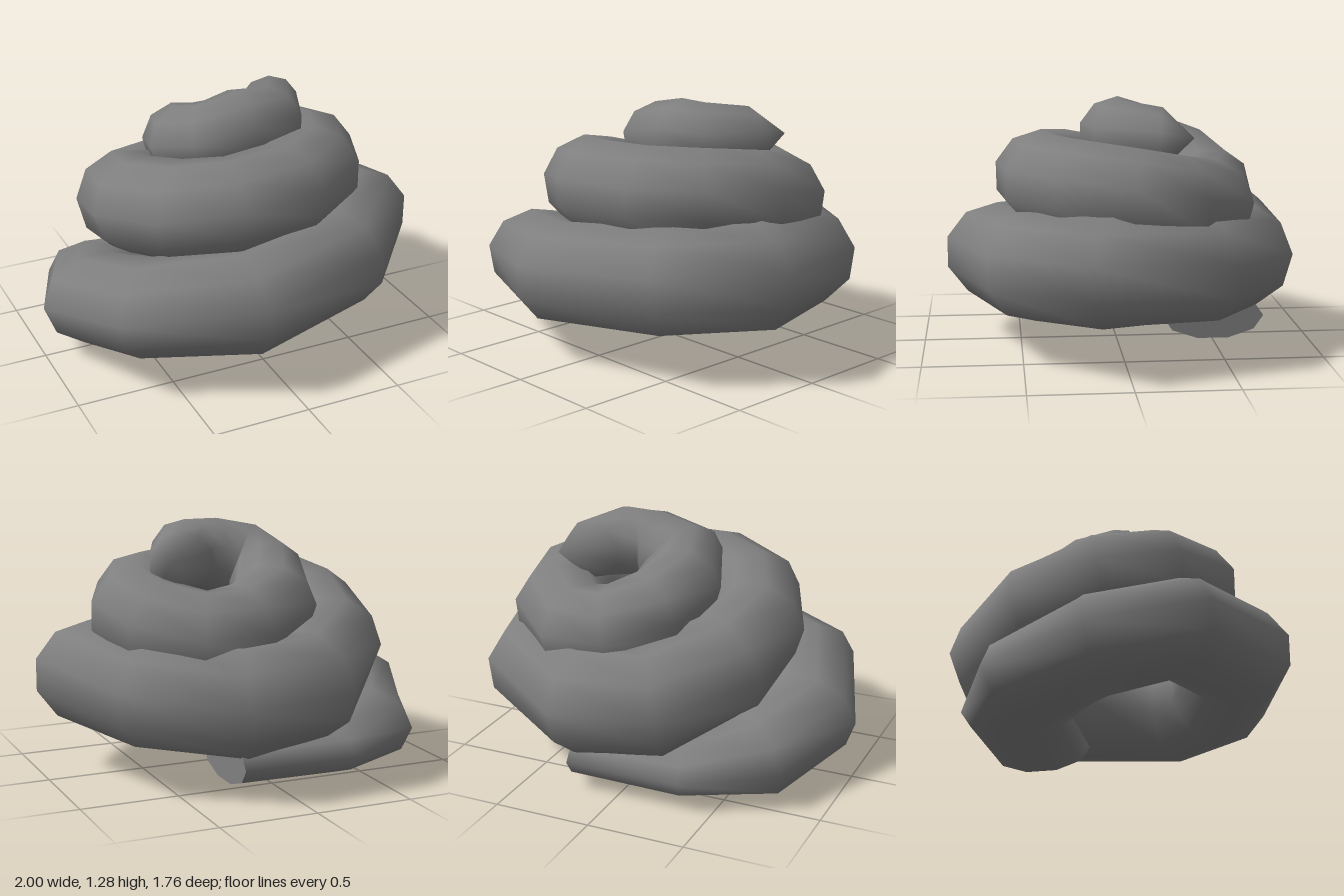
import * as THREE from 'three';

// Stations along the coil, from the flat lower end to the last ring:
// [outer x, outer z, centre y, half width, half height]
const STATIONS = [
  [0.25, -0.74, 0.17, 0.26, 0.12],
  [-0.35, -0.74, 0.17, 0.27, 0.13],
  [-0.80, -0.51, 0.21, 0.30, 0.21],
  [-1.00, 0.02, 0.30, 0.28, 0.24],
  [-0.80, 0.59, 0.41, 0.28, 0.24],
  [-0.16, 0.88, 0.45, 0.28, 0.26],
  [0.58, 0.67, 0.49, 0.28, 0.27],
  [1.00, 0.18, 0.515, 0.28, 0.27],
  [0.81, -0.52, 0.50, 0.29, 0.27],
  [0.28, -0.88, 0.48, 0.29, 0.28],
  [-0.28, -0.84, 0.53, 0.28, 0.28],
  [-0.65, -0.43, 0.65, 0.27, 0.27],
  [-0.71, 0.02, 0.76, 0.26, 0.25],
  [-0.54, 0.41, 0.82, 0.26, 0.25],
  [-0.16, 0.62, 0.86, 0.26, 0.24],
  [0.29, 0.57, 0.87, 0.26, 0.24],
  [0.61, 0.34, 0.87, 0.25, 0.24],
  [0.77, -0.03, 0.84, 0.25, 0.24],
  [0.71, -0.39, 0.80, 0.25, 0.24],
  [0.42, -0.65, 0.77, 0.24, 0.23],
  [0.07, -0.69, 0.81, 0.23, 0.22],
  [-0.24, -0.50, 0.90, 0.22, 0.21],
  [-0.33, -0.16, 0.99, 0.21, 0.20],
  [-0.21, 0.14, 1.06, 0.20, 0.19],
  [0.10, 0.19, 1.10, 0.20, 0.19],
  [0.38, 0.14, 1.11, 0.19, 0.18],
  [0.51, -0.17, 1.11, 0.16, 0.15],
];
const TIP = [0.48, 1.12, -0.34];
const SIDES = 10;

// Ten-sided ring, square to the rising path, touching the given outer point
function ring(i) {
  const [ox, oz, y, w, h] = STATIONS[i];
  const a = STATIONS[Math.max(i - 1, 0)];
  const b = STATIONS[i + 1] ?? [TIP[0], TIP[2], TIP[1]];
  const along = new THREE.Vector3(b[0] - a[0], b[2] - a[2], b[1] - a[1]).normalize();
  const out = new THREE.Vector3(-along.z, 0, along.x).normalize();
  const up = new THREE.Vector3().crossVectors(out, along);
  // The section rolls by half a side between the front and the back left
  const roll = THREE.MathUtils.clamp(0.25 * (1 - out.x - out.z), 0, 0.5);
  const step = (Math.PI * 2) / SIDES;
  const reach = Math.cos((0.5 - roll) * step);
  const points = [];
  for (let k = 0; k < SIDES; k++) {
    const angle = (k + 0.5 - roll) * step;
    const p = new THREE.Vector3(ox, y, oz)
      .addScaledVector(out, w * (Math.cos(angle) - reach))
      .addScaledVector(up, h * Math.sin(angle));
    points.push(p.toArray());
  }
  return points;
}

function buildGeometry(points, index) {
  const geometry = new THREE.BufferGeometry();
  geometry.setAttribute('position', new THREE.Float32BufferAttribute(points.flat(), 3));
  geometry.setIndex(index);
  geometry.computeVertexNormals();
  return geometry;
}

export function createModel() {
  const group = new THREE.Group();
  group.name = 'spiralSwirl';
  const material = new THREE.MeshStandardMaterial({ color: 0x7f7f7f });
  const add = (name, geometry) => {
    const mesh = new THREE.Mesh(geometry, material);
    mesh.name = name;
    group.add(mesh);
  };

  // Tapering coil, closed by a pointed tip
  const rings = STATIONS.map((_, i) => ring(i));
  const points = [...rings.flat(), TIP];
  const index = [];
  const last = rings.length - 1;
  for (let i = 0; i <= last; i++) {
    for (let k = 0; k < SIDES; k++) {
      const a = i * SIDES + k, b = i * SIDES + ((k + 1) % SIDES);
      if (i === last) index.push(a, points.length - 1, b);
      else index.push(a, a + SIDES, b, b, a + SIDES, b + SIDES);
    }
  }
  add('coil', buildGeometry(points, index));

  // Flat cut at the lower end
  const capIndex = [];
  for (let k = 1; k < SIDES - 1; k++) capIndex.push(0, k, k + 1);
  add('coilEnd', buildGeometry(rings[0], capIndex));

  return group;
}
